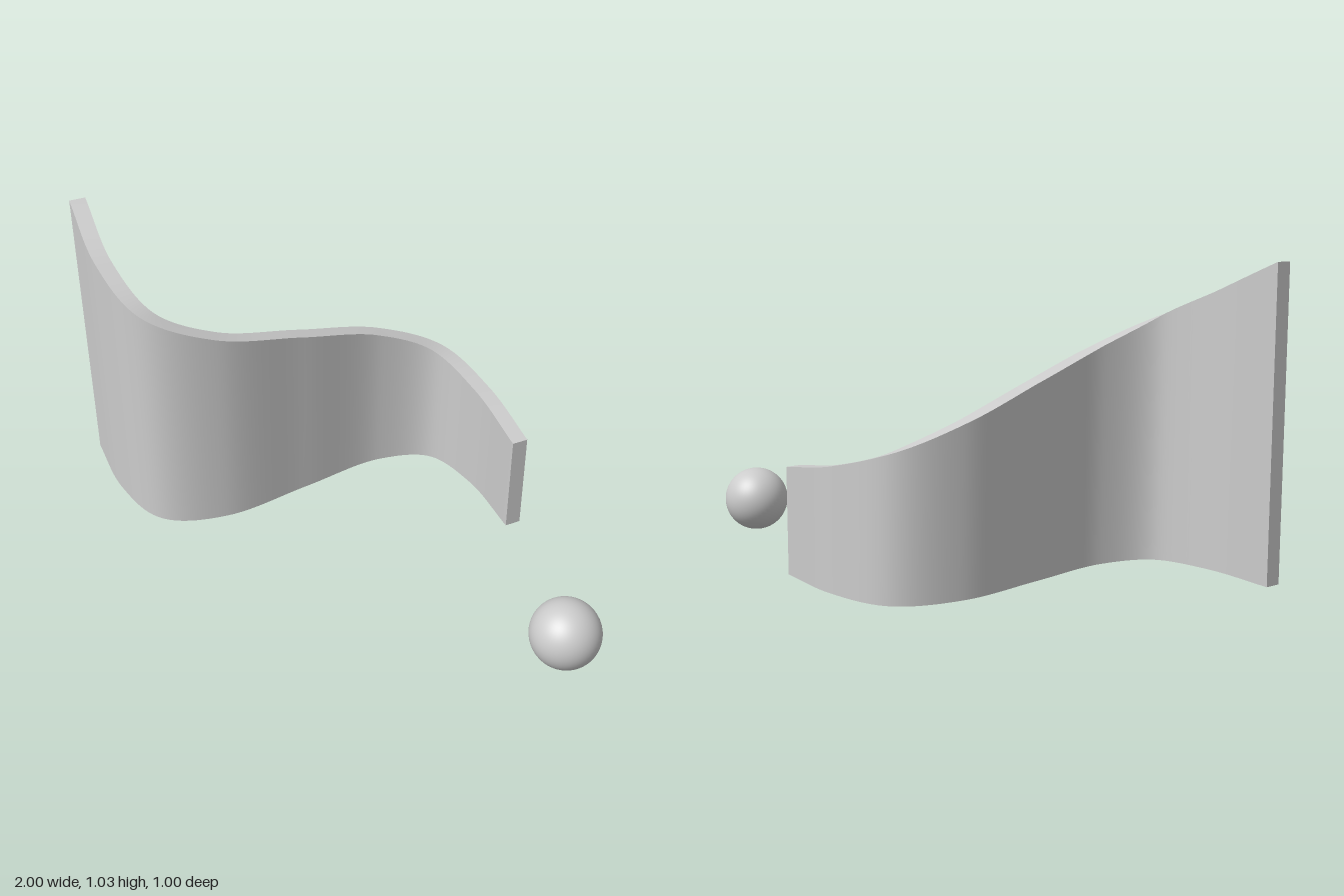
import * as THREE from 'three';

const THICKNESS = 0.055;

// Centre line of the wall; y holds the wall height at that point
const PATH = new THREE.CatmullRomCurve3([
  [-0.98, 1.035, -0.087],
  [-0.79, 0.927, 0.1],
  [-0.59, 0.832, 0.198],
  [-0.4, 0.743, 0.108],
  [-0.205, 0.647, -0.137],
  [-0.01, 0.55, -0.382],
  [0.18, 0.472, -0.472],
  [0.38, 0.407, -0.374],
  [0.57, 0.362, -0.187],
].map(p => new THREE.Vector3(...p)));

// Bend a subdivided box along the path, raising its top to the local height
function wallGeometry() {
  const geometry = new THREE.BoxGeometry(1, 1, 1, 96, 1, 1);
  const pos = geometry.attributes.position;
  for (let i = 0; i < pos.count; i++) {
    const u = THREE.MathUtils.clamp(pos.getX(i) + 0.5, 0, 1);
    const p = PATH.getPointAt(u);
    const t = PATH.getTangentAt(u).setY(0).normalize();
    const offset = pos.getZ(i) * THICKNESS;
    pos.setXYZ(i, p.x - t.z * offset, (pos.getY(i) + 0.5) * p.y, p.z + t.x * offset);
  }
  geometry.computeVertexNormals();
  return geometry;
}

export function createModel() {
  const group = new THREE.Group();
  const material = new THREE.MeshStandardMaterial({ color: 0xcccccc });

  // S-shaped wall with a sloping top
  const wall = new THREE.Mesh(wallGeometry(), material);
  wall.name = 'curvedWall';

  // Ball resting on the ground beside the low end
  const radius = 0.114;
  const ball = new THREE.Mesh(new THREE.SphereGeometry(radius, 48, 32), material);
  ball.position.set(0.886, radius, 0.385);
  ball.name = 'ball';

  group.add(wall, ball);
  return group;
}
